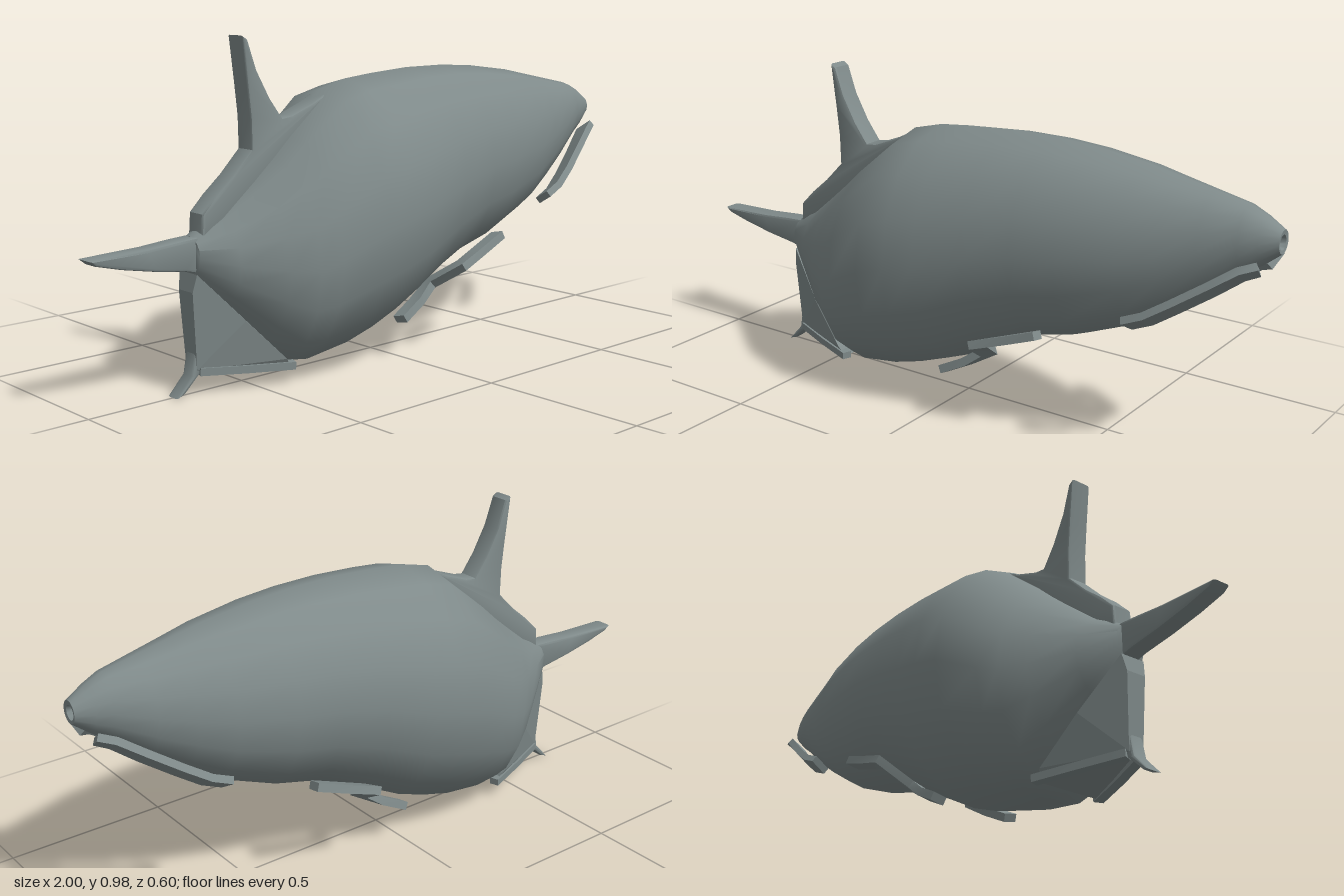
import * as THREE from 'three';
import { toCreasedNormals } from 'three/addons/utils/BufferGeometryUtils.js';
import { ConvexGeometry } from 'three/addons/geometries/ConvexGeometry.js';

const V = (x, y, z) => new THREE.Vector3(x, y, z);

// Joins rings of points (counterclockwise about the direction of travel) and caps both ends
function loft(rings, crease) {
  const n = rings[0].length, pos = [], index = [];
  rings.forEach(r => r.forEach(p => pos.push(p.x, p.y, p.z)));
  for (let i = 0; i < rings.length - 1; i++) {
    for (let j = 0; j < n; j++) {
      const k = (j + 1) % n, a = i * n + j, b = i * n + k;
      index.push(a, b, a + n, b, b + n, a + n);
    }
  }
  const last = (rings.length - 1) * n;
  for (let j = 1; j < n - 1; j++) {
    index.push(0, j + 1, j, last, last + j, last + j + 1);
  }
  const g = new THREE.BufferGeometry();
  g.setAttribute('position', new THREE.Float32BufferAttribute(pos, 3));
  g.setIndex(index);
  return toCreasedNormals(g, crease);
}

// Flat strap following a path, facing the given direction
function strap(points, facing, width, thick) {
  const rings = points.map((p, i) => {
    const before = p.clone().sub(points[Math.max(i - 1, 0)]).normalize();
    const after = points[Math.min(i + 1, points.length - 1)].clone().sub(p).normalize();
    const t = before.clone().add(after).normalize();
    const miter = 1 / Math.max(0.7, t.dot(i ? before : after));
    const n = facing.clone().addScaledVector(t, -facing.dot(t)).normalize();
    const b = t.clone().cross(n);
    return [[1, 1], [-1, 1], [-1, -1], [1, -1]].map(([u, v]) =>
      p.clone().addScaledVector(n, u * thick / 2).addScaledVector(b, v * width / 2 * miter));
  });
  return loft(rings, 0.6);
}

// Side profile given a thickness across z, with slightly rounded edges
function fin(profile, half) {
  const shape = new THREE.Shape(profile.map(([x, y]) => new THREE.Vector2(x, y)));
  const bevel = 0.008;
  const g = new THREE.ExtrudeGeometry(shape, {
    depth: 2 * (half - bevel), bevelEnabled: true, bevelThickness: bevel,
    bevelSize: bevel, bevelOffset: -bevel, bevelSegments: 2,
  });
  g.translate(0, 0, -(half - bevel));
  return toCreasedNormals(g, 0.7);
}

export function createModel() {
  const group = new THREE.Group();
  const grey = new THREE.MeshStandardMaterial({ color: 0x7f8a8a });
  grey.name = 'slate grey';
  const add = (name, geometry) => {
    const mesh = new THREE.Mesh(geometry, grey);
    mesh.name = name;
    group.add(mesh);
  };

  // Body: x, bottom, top, half width of each cross-section
  const sections = [
    [-0.67, 0.33, 0.44, 0.05], [-0.58, 0.23, 0.49, 0.115], [-0.47, 0.105, 0.58, 0.195],
    [-0.4, 0.037, 0.64, 0.238], [-0.34, 0.028, 0.695, 0.262], [-0.2, 0.05, 0.81, 0.298],
    [-0.1, 0.078, 0.835, 0.298], [0, 0.115, 0.845, 0.289], [0.15, 0.195, 0.855, 0.262],
    [0.3, 0.26, 0.855, 0.238], [0.43, 0.292, 0.847, 0.218], [0.6, 0.36, 0.825, 0.178],
    [0.7, 0.42, 0.805, 0.142], [0.8, 0.49, 0.785, 0.108], [0.9, 0.57, 0.765, 0.072],
    [0.95, 0.605, 0.742, 0.054], [1, 0.645, 0.712, 0.03], [0.998, 0.655, 0.698, 0.02],
    [0.97, 0.662, 0.69, 0.014],
  ];
  const sides = 16;
  add('body', loft(sections.map(([x, lo, hi, w]) =>
    Array.from({ length: sides }, (_, j) => {
      const a = j / sides * Math.PI * 2;
      return V(x, (lo + hi) / 2 + (hi - lo) / 2 * Math.cos(a), w * Math.sin(a));
    })), 1.0));

  // Upright fin with its long base running down the back
  add('dorsalFin', fin([
    [-0.65, 0.42], [-0.645, 0.5], [-0.6, 0.545], [-0.54, 0.595], [-0.475, 0.66], [-0.477, 0.75],
    [-0.487, 0.84], [-0.503, 0.975], [-0.485, 0.965], [-0.455, 0.88], [-0.41, 0.8],
    [-0.365, 0.74], [-0.33, 0.745], [-0.25, 0.775], [-0.2, 0.8], [-0.25, 0.68], [-0.45, 0.52],
  ], 0.034));

  // Rear spike
  add('tailSpike', fin([
    [-0.64, 0.44], [-0.72, 0.436], [-0.82, 0.428], [-1, 0.422], [-0.98, 0.406],
    [-0.9, 0.385], [-0.8, 0.365], [-0.7, 0.35], [-0.64, 0.335],
  ], 0.03));

  // Flared skirt below the tail
  const skirt = [];
  for (const s of [-1, 1]) {
    skirt.push(V(-0.675, 0.34, s * 0.04), V(-0.685, 0.29, s * 0.032), V(-0.67, 0.07, s * 0.025),
      V(-0.41, 0.045, s * 0.11), V(-0.43, 0.075, s * 0.12), V(-0.55, 0.2, s * 0.09));
  }
  add('tailSkirt', new ConvexGeometry(skirt));

  // Downward spur at the rear of the skirt
  add('tailSpur', fin([
    [-0.67, 0.13], [-0.685, 0.055], [-0.735, 0], [-0.71, 0.008], [-0.66, 0.055], [-0.63, 0.07],
  ], 0.024));

  // Mirrored straps under the body
  for (const s of [1, -1]) {
    const side = s > 0 ? 'left' : 'right';
    const path = list => list.map(([x, y, z]) => V(x, y, z * s));
    add(side + 'FrontFlipper', strap(
      path([[0.96, 0.61, 0.055], [0.92, 0.595, 0.075], [0.85, 0.545, 0.098],
        [0.76, 0.485, 0.128], [0.69, 0.44, 0.145], [0.63, 0.415, 0.15]]),
      V(0.3, -0.8, 0.5 * s), 0.06, 0.022));
    add(side + 'MiddleLeg', strap(
      path([[0.37, 0.33, 0.188], [0.27, 0.295, 0.2], [0.18, 0.265, 0.212], [0.15, 0.2, 0.112],
        [0.08, 0.155, 0.122], [0, 0.115, 0.132]]),
      V(0.3, -1, 0.2 * s), 0.045, 0.025));
    add(side + 'RearFoot', strap(
      path([[-0.66, 0.065, 0.02], [-0.53, 0.058, 0.07], [-0.4, 0.052, 0.115]]),
      V(0, -1, 0), 0.03, 0.022));
  }
  return group;
}
